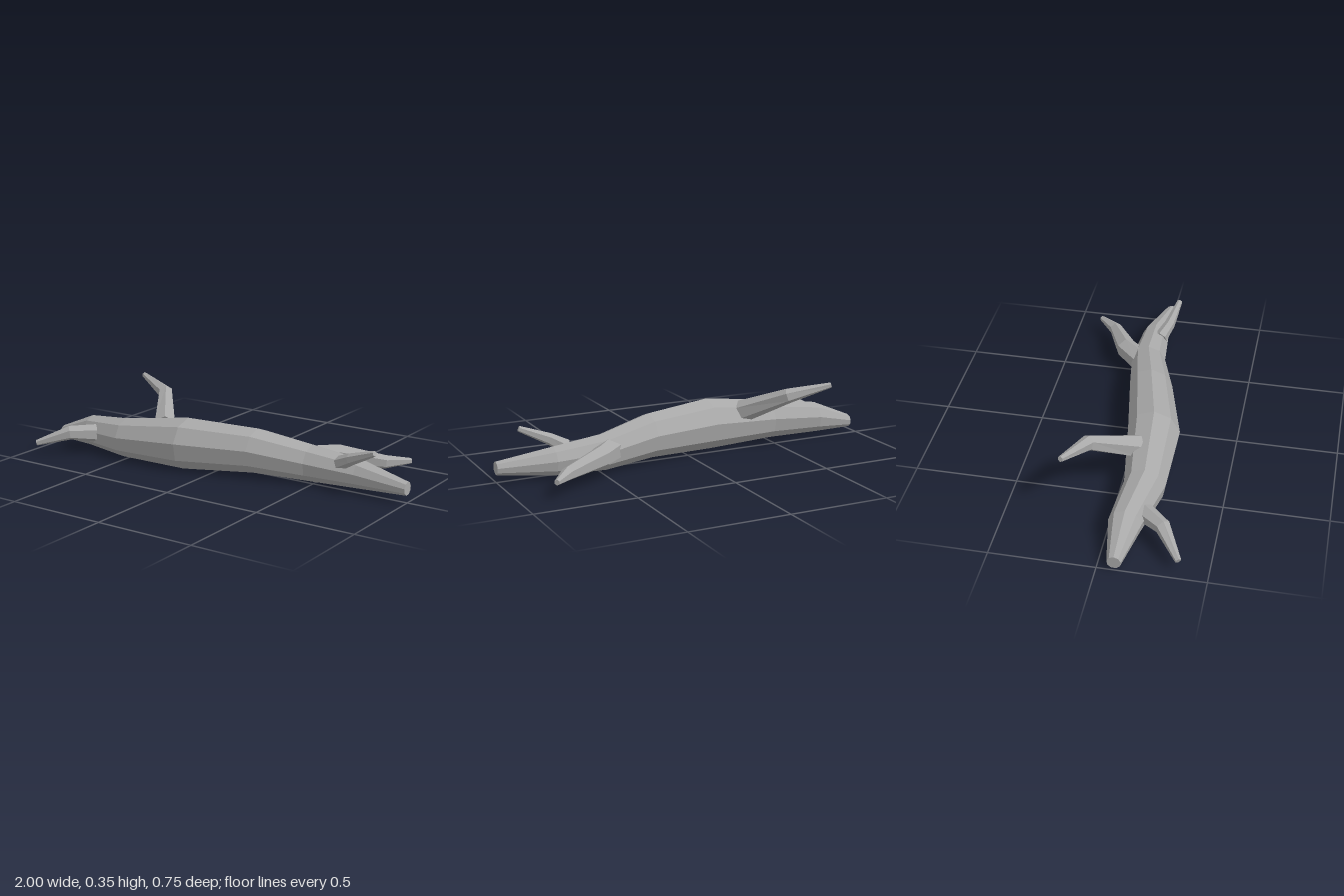
import * as THREE from 'three';

// Faceted tube through sections [x, y, z, radius]; axis fixes the ring plane when given.
function limb(name, sections, sides, material, axis) {
  const points = sections.map(([x, y, z]) => new THREE.Vector3(x, y, z));
  const last = points.length - 1;
  const rings = points.map((p, i) => {
    const t = axis ? axis.clone() : new THREE.Vector3();
    if (!axis) {
      if (i > 0) t.add(p.clone().sub(points[i - 1]).normalize());
      if (i < last) t.add(points[i + 1].clone().sub(p).normalize());
      t.normalize();
    }
    // u points as far upward as possible, v completes a right-handed frame
    const u = new THREE.Vector3(0, 1, 0).addScaledVector(t, -t.y).normalize();
    const v = t.clone().cross(u);
    const r = sections[i][3];
    return Array.from({ length: sides }, (_, k) => {
      const a = (k / sides) * Math.PI * 2;
      return p.clone().addScaledVector(u, r * Math.cos(a)).addScaledVector(v, r * Math.sin(a));
    });
  });
  const verts = [];
  for (let k = 0; k < sides; k++) {
    const n = (k + 1) % sides;
    for (let i = 0; i < last; i++) {
      const a = rings[i], b = rings[i + 1];
      verts.push(a[k], a[n], b[n], a[k], b[n], b[k]);
    }
    verts.push(points[0], rings[0][n], rings[0][k]);
    verts.push(points[last], rings[last][k], rings[last][n]);
  }
  const geometry = new THREE.BufferGeometry().setFromPoints(verts);
  geometry.computeVertexNormals();
  const mesh = new THREE.Mesh(geometry, material);
  mesh.name = name;
  return mesh;
}

export function createModel() {
  const group = new THREE.Group();
  group.name = 'fallenLog';
  const bark = new THREE.MeshStandardMaterial({ color: 0xa8a8a8, flatShading: true });
  bark.name = 'greyBark';

  // Gently bent trunk, tapered at both ends
  group.add(limb('trunk', [
    [-1, 0.05, 0.08, 0.033],
    [-0.79, 0.093, 0.09, 0.079],
    [-0.53, 0.104, 0.132, 0.1],
    [-0.16, 0.128, 0.108, 0.13],
    [0.2, 0.13, 0.028, 0.111],
    [0.47, 0.098, -0.035, 0.09],
    [0.73, 0.087, -0.04, 0.07],
    [1, 0.075, 0.002, 0.033],
  ], 9, bark, new THREE.Vector3(1, 0, 0)));

  // Four broken side branches
  group.add(limb('upperBackBranch', [
    [-0.34, 0.18, 0.06, 0.058],
    [-0.49, 0.29, -0.145, 0.038],
    [-0.69, 0.342, -0.226, 0.014],
  ], 6, bark));
  group.add(limb('rightFrontBranch', [
    [-0.71, 0.105, 0.165, 0.047],
    [-0.8, 0.115, 0.265, 0.037],
    [-0.945, 0.06, 0.36, 0.015],
  ], 6, bark));
  group.add(limb('leftBackBranch', [
    [0.45, 0.11, -0.07, 0.062],
    [0.54, 0.115, -0.17, 0.054],
    [0.745, 0.09, -0.27, 0.034],
    [0.835, 0.087, -0.365, 0.014],
  ], 6, bark));
  group.add(limb('leftFrontBranch', [
    [0.645, 0.135, 0, 0.036],
    [0.72, 0.175, 0.035, 0.029],
    [0.86, 0.234, 0.066, 0.014],
  ], 6, bark));

  return group;
}
